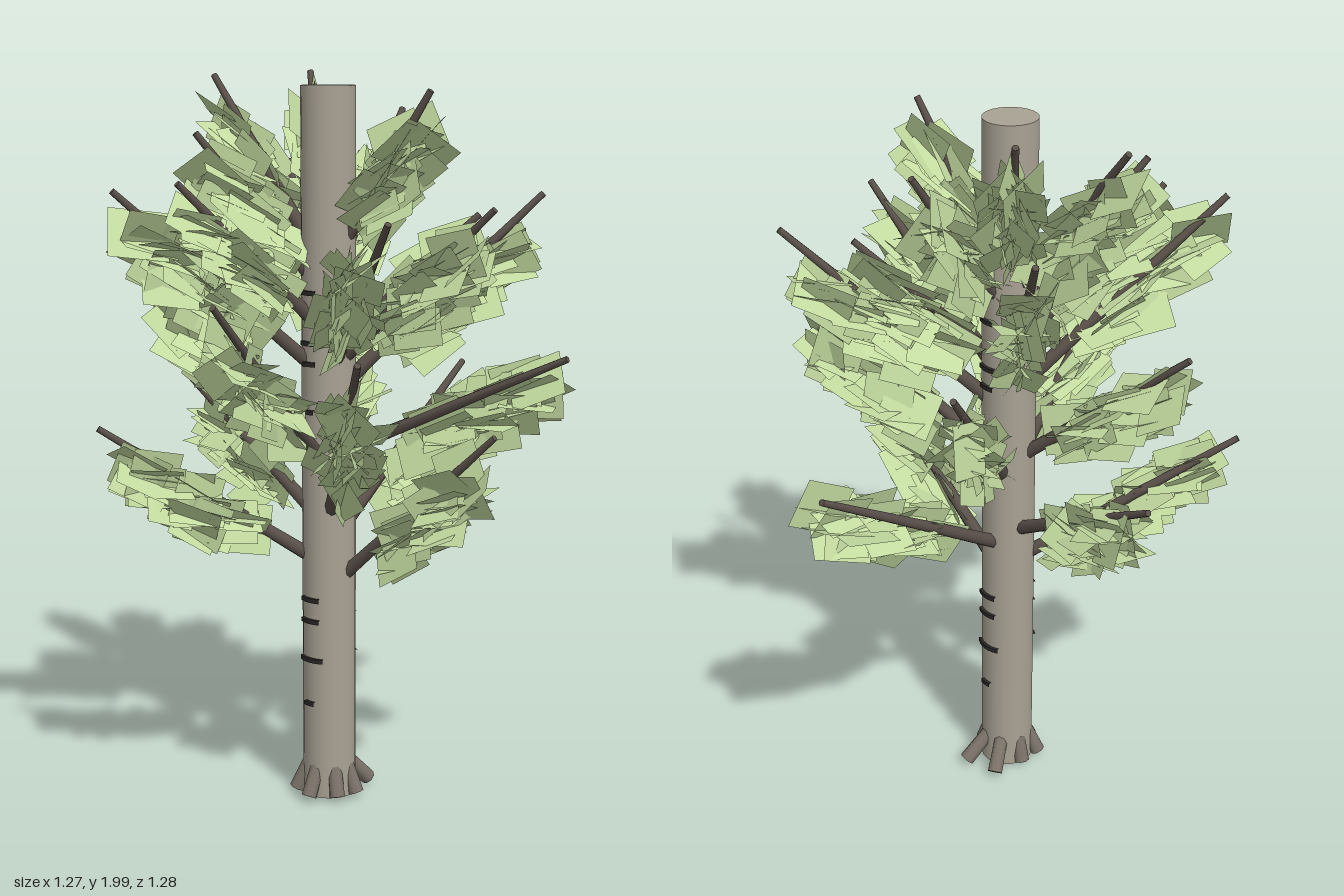
import * as THREE from 'three';
import { mergeGeometries } from 'three/addons/utils/BufferGeometryUtils.js';

const CX = -0.045, CZ = -0.035, TRUNK_R = 0.073;
const UP = new THREE.Vector3(0, 1, 0);

const bark = new THREE.MeshStandardMaterial({ color: 0xa9a294 });
const rootBark = new THREE.MeshStandardMaterial({ color: 0x7c736a });
const branchBark = new THREE.MeshStandardMaterial({ color: 0x5a504a });
const scar = new THREE.MeshStandardMaterial({ color: 0x2b2826 });
const foliage = new THREE.MeshStandardMaterial({ color: 0xc3dba0, side: THREE.DoubleSide });

// Branches: height at the trunk, tip x, y, z, and sideways turn of the leaves in radians
const BRANCHES = [
  [0.6, 0.04, 1.08, 0.48, 0],
  [0.66, -0.53, 1.06, -0.42, 0.06],
  [0.72, 0.63, 1.14, -0.15, -0.12],
  [0.77, -0.01, 1.11, -0.64, -0.03],
  [0.78, -0.395, 1.31, 0.415, 0],
  [0.92, 0.35, 1.4, -0.32, 0],
  [0.93, -0.59, 1.44, 0.115, -0.03],
  [0.98, -0.23, 1.42, -0.53, 0],
  [0.97, 0.135, 1.29, 0.635, 0.14],
  [1.13, 0.44, 1.67, 0.3, 0],
  [1.18, -0.58, 1.7, -0.275, 0.06],
  [1.2, 0.04, 1.66, 0.47, 0],
  [1.18, -0.2, 1.63, 0.33, -0.2],
  [1.22, 0.18, 1.74, -0.42, 0],
  [1.26, 0.265, 1.62, 0.225, 0],
  [1.3, -0.47, 1.72, -0.15, 0],
  [1.4, -0.345, 1.84, -0.22, 0],
  [1.42, 0.3, 1.89, -0.09, 0.1],
  [1.46, -0.06, 1.98, -0.465, 0],
  [1.48, 0.03, 1.95, 0.26, 0],
  [1.52, 0.14, 1.99, -0.29, 0],
];

let seed = 7;
const rand = () => (seed = (seed * 16807) % 2147483647) / 2147483647;
const jitter = (s) => (rand() - 0.5) * 2 * s;

function add(group, name, geometry, material) {
  const mesh = new THREE.Mesh(geometry, material);
  mesh.name = name;
  group.add(mesh);
  return mesh;
}

// Tapered rod between two points
function rod(a, b, rA, rB, sides) {
  const dir = b.clone().sub(a);
  const g = new THREE.CylinderGeometry(rB, rA, dir.length(), sides);
  g.applyQuaternion(new THREE.Quaternion().setFromUnitVectors(UP, dir.normalize()));
  const mid = a.clone().add(b).multiplyScalar(0.5);
  return g.translate(mid.x, mid.y, mid.z);
}

// Bundle of flat leaf cards along the outer branch, rolled about a shallower line
function leafCluster(a, b, turn, count) {
  const reach = b.clone().sub(a).applyAxisAngle(UP, turn);
  const dir = new THREE.Vector3(reach.x, reach.y * 0.5, reach.z).normalize();
  const side = new THREE.Vector3().crossVectors(UP, dir).normalize();
  const align = new THREE.Matrix4().makeBasis(new THREE.Vector3().crossVectors(dir, side), dir, side);
  const cards = [];
  for (let i = 0; i < count; i++) {
    const g = new THREE.PlaneGeometry(0.13 + jitter(0.015), 0.145 + jitter(0.015));
    g.rotateX(jitter(0.3)).rotateZ(jitter(0.25));
    g.rotateY(i * 2.4 + jitter(0.4));
    g.applyMatrix4(align);
    const p = a.clone().addScaledVector(reach, 0.41 + (0.45 * i) / (count - 1));
    cards.push(g.translate(p.x + jitter(0.035), p.y - 0.06 + jitter(0.04), p.z + jitter(0.035)));
  }
  return mergeGeometries(cards);
}

export function createModel() {
  const tree = new THREE.Group();
  tree.name = 'tree';

  // Straight trunk
  add(tree, 'trunk', new THREE.CylinderGeometry(TRUNK_R, TRUNK_R, 1.945, 24), bark)
    .position.set(CX, 0.9875, CZ);

  // Dark bark scars hugging both flanks: height, half angle
  const scars = [[0.285, 0.22], [0.41, 0.55], [0.52, 0.42], [0.58, 0.42],
    [1.1, 0.25], [1.23, 0.32], [1.285, 0.38], [1.42, 0.33]];
  for (const [y, half] of scars) {
    for (const side of [Math.PI / 2, -Math.PI / 2]) {
      const g = new THREE.CylinderGeometry(0.081, 0.081, 0.012, 6, 1, false, side - half, half * 2);
      add(tree, 'barkScar', g, scar).position.set(CX, y, CZ);
    }
  }

  // Short roots splayed around the foot: angle, reach
  const roots = [[0.2, 0.13], [1.3, 0.085], [2.1, 0.085], [3.0, 0.095], [3.9, 0.09], [4.75, 0.075], [5.65, 0.125]];
  for (const [angle, reach] of roots) {
    const at = (r, y) => new THREE.Vector3(CX + Math.cos(angle) * r, y, CZ + Math.sin(angle) * r);
    add(tree, 'root', rod(at(0.055, 0.1), at(reach, 0.022), 0.02, 0.022, 8), rootBark);
  }

  // Branches spiralling up the trunk, each carrying a leaf cluster
  for (const [baseY, x, y, z, turn] of BRANCHES) {
    const tip = new THREE.Vector3(x, y, z);
    const base = new THREE.Vector3(CX, baseY, CZ);
    const branch = new THREE.Group();
    branch.name = 'branch';
    add(branch, 'branchWood', rod(base, tip, 0.021, 0.009, 8), branchBark);
    add(branch, 'leaves', leafCluster(base, tip, turn, 32), foliage);
    tree.add(branch);
  }
  return tree;
}
